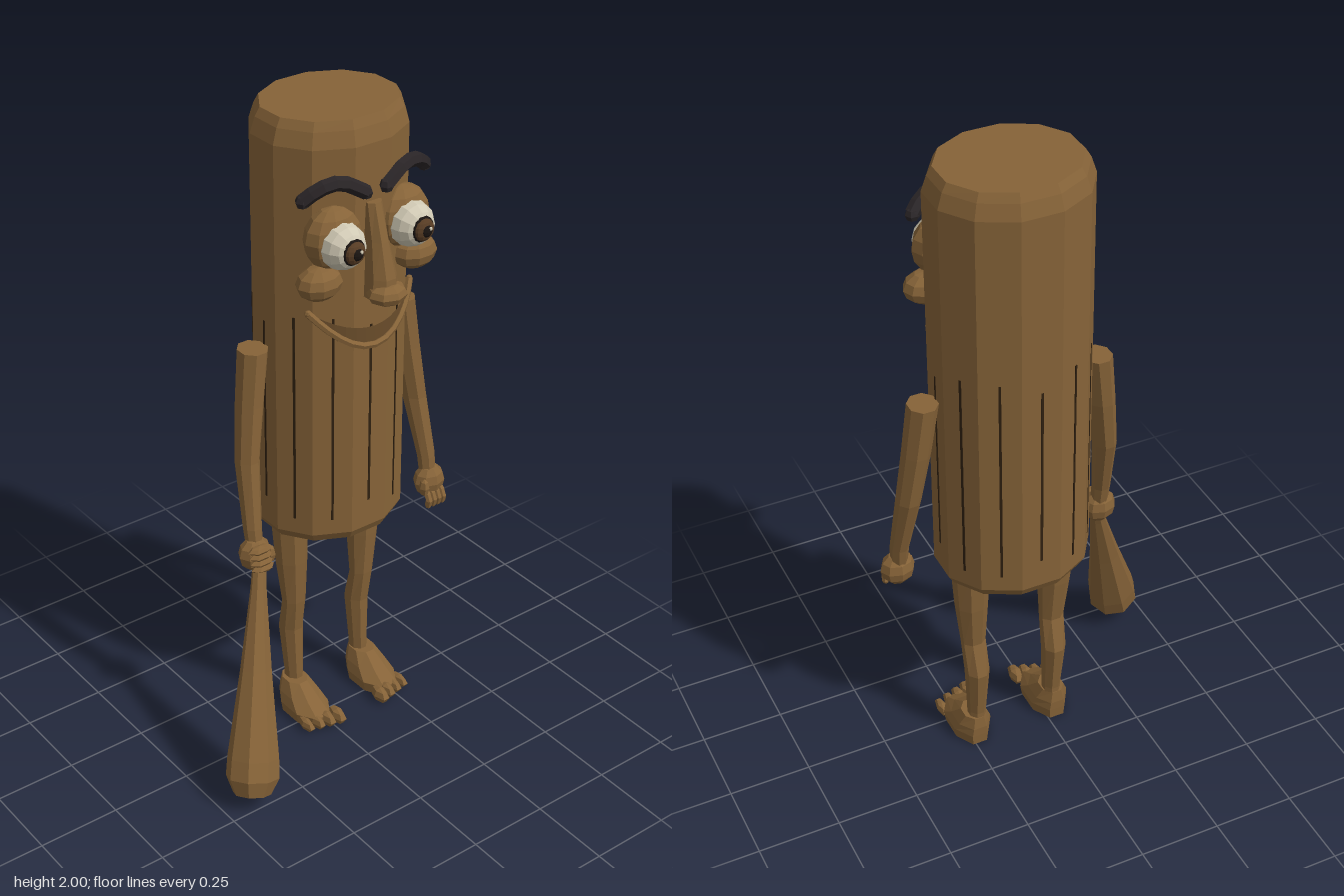
import * as THREE from 'three';

const mat = (name, color) => Object.assign(new THREE.MeshStandardMaterial({ color }), { name });
const CX = 0.104, CZ = -0.093; // axis of the log body

export function createModel() {
  const root = new THREE.Group();
  root.name = 'logFigure';
  const wood = mat('wood brown', 0x866338);
  const groove = mat('groove dark brown', 0x2f2010);
  const mouthIn = mat('mouth brown', 0x694c2a);
  const brow = mat('brow black', 0x2a2527);
  const white = mat('eye white', 0xd0c9b4);
  const irisM = mat('iris brown', 0x573c24);
  const pupilM = mat('pupil black', 0x1a1411);
  mouthIn.side = THREE.DoubleSide;

  // faceted mesh: unshared corners give flat normals
  const add = (parent, name, geo, material) => {
    const g = geo.index ? geo.toNonIndexed() : geo;
    g.computeVertexNormals();
    const m = new THREE.Mesh(g, material);
    m.name = name;
    parent.add(m);
    return m;
  };

  // closed stack of horizontal rings, bottom to top: [x, y, z, rx, rz]
  const loft = (rings, n) => {
    const pos = [], idx = [];
    for (const [x, y, z, rx, rz] of rings)
      for (let i = 0; i < n; i++) {
        const a = (i + 0.5) / n * Math.PI * 2;
        pos.push(x + rx * Math.sin(a), y, z + rz * Math.cos(a));
      }
    const last = rings.length - 1;
    for (let j = 0; j < last; j++)
      for (let i = 0; i < n; i++) {
        const k = (i + 1) % n, a = j * n + i, b = j * n + k;
        idx.push(a, b, b + n, a, b + n, a + n);
      }
    for (let i = 1; i < n - 1; i++) {
      idx.push(0, i + 1, i);
      idx.push(last * n, last * n + i, last * n + i + 1);
    }
    const g = new THREE.BufferGeometry();
    g.setAttribute('position', new THREE.Float32BufferAttribute(pos, 3));
    g.setIndex(idx);
    return g;
  };

  const blob = (parent, name, material, [x, y, z], [sx, sy, sz], w = 8, h = 6) => {
    const m = add(parent, name, new THREE.SphereGeometry(1, w, h).scale(sx, sy, sz), material);
    m.position.set(x, y, z);
    return m;
  };

  // tube with rounded ends
  const rod = (parent, name, material, pts, r, seg = 8) => {
    const v = pts.map(p => new THREE.Vector3(...p));
    add(parent, name, new THREE.TubeGeometry(new THREE.CatmullRomCurve3(v), seg, r, 6), material);
    for (const p of [pts[0], pts[pts.length - 1]]) blob(parent, name + 'End', material, p, [r, r, r], 6, 4);
  };

  // log body
  add(root, 'body', loft([
    [CX, 0.692, CZ, 0.215, 0.187], [CX, 0.72, CZ, 0.232, 0.202],
    [CX, 1.93, CZ, 0.232, 0.202], [CX, 1.975, CZ, 0.217, 0.189], [CX, 2.0, CZ, 0.202, 0.177],
  ], 12), wood);

  // bark grooves, one per facet
  for (let i = 0; i < 12; i++) {
    const a = i * Math.PI / 6, h = i % 3 ? 0.66 : 0.58;
    const g = add(root, 'barkGroove', new THREE.BoxGeometry(0.007, h, 0.007), groove);
    g.position.set(CX + 0.2225 * Math.sin(a), 1.1, CZ + 0.1935 * Math.cos(a));
    g.rotation.y = a;
  }

  // paired parts, mirrored about the body axis
  for (const s of [-1, 1]) {
    const side = s < 0 ? 'right' : 'left';
    const X = d => CX + s * d;

    // leg
    add(root, side + 'Leg', loft([
      [X(0.127), 0.06, -0.1, 0.028, 0.033], [X(0.127), 0.12, -0.1, 0.028, 0.033],
      [X(0.128), 0.29, -0.112, 0.037, 0.042], [X(0.13), 0.4, -0.092, 0.038, 0.034],
      [X(0.135), 0.55, -0.096, 0.05, 0.049], [X(0.138), 0.71, -0.1, 0.058, 0.058],
    ], 8), wood);

    // foot and toes
    add(root, side + 'Foot', loft([
      [X(0.132), 0, -0.037, 0.06, 0.104], [X(0.132), 0.035, -0.037, 0.066, 0.107],
      [X(0.132), 0.065, -0.063, 0.056, 0.08], [X(0.132), 0.104, -0.088, 0.038, 0.048],
    ], 8), wood);
    for (let i = 0; i < 4; i++) {
      const r = 0.025 - i * 0.002;
      blob(root, side + 'Toe', wood, [X(0.085 + i * 0.033), r, 0.068 - i * 0.009],
        [r * 0.85, r, 0.042], 6, 4);
    }

    // arm
    add(root, side + 'Arm', loft([
      [X(0.325), 0.7, -0.015, 0.024, 0.026], [X(0.325), 0.78, -0.026, 0.028, 0.029],
      [X(0.308), 0.98, -0.07, 0.036, 0.041], [X(0.285), 1.15, -0.086, 0.041, 0.046],
      [X(0.264), 1.315, -0.095, 0.044, 0.049],
    ], 8), wood);

    // hand: a fist round the club on the right, loose fingers on the left
    blob(root, side + 'Palm', wood, [X(0.328), 0.695, -0.012], [0.053, 0.054, 0.042]);
    for (let i = 0; i < 4; i++) {
      if (s < 0) blob(root, 'rightFinger', wood, [X(0.332 - i * 0.003), 0.725 - i * 0.022, 0.02],
        [0.04, 0.013, 0.022], 6, 4);
      else {
        const x = X(0.3 + i * 0.018);
        rod(root, 'leftFinger', wood, [[x, 0.675, 0.005], [x, 0.65, 0.026], [x, 0.628, 0.022]], 0.011, 3);
      }
    }
    blob(root, side + 'Thumb', wood, [X(0.29), 0.69, 0.012], [0.016, 0.03, 0.018], 6, 4);

    // eye: lid, ball, dark rim, iris, pupil and glint
    const ex = X(0.118), ey = 1.672;
    blob(root, side + 'Eyelid', wood, [ex, ey + 0.01, 0.078], [0.09, 0.09, 0.06], 10, 8);
    const ball = blob(root, side + 'Eyeball', white, [ex, ey, 0.119], [0.067, 0.067, 0.067], 12, 8);
    ball.rotation.x = Math.PI / 2;
    blob(root, side + 'IrisRim', pupilM, [ex, ey, 0.168], [0.039, 0.039, 0.02], 12, 8);
    blob(root, side + 'Iris', irisM, [ex, ey, 0.177], [0.033, 0.033, 0.018], 12, 8);
    blob(root, side + 'Pupil', pupilM, [ex, ey, 0.189], [0.018, 0.018, 0.011], 10, 6);
    blob(root, side + 'EyeGlint', white, [ex + 0.007, ey + 0.008, 0.197], [0.006, 0.006, 0.004], 6, 4);

    // pouch under the eye
    blob(root, side + 'Cheek', wood, [X(0.165), 1.56, 0.082], [0.07, 0.049, 0.055], 10, 6);

    // eyebrow
    rod(root, side + 'Eyebrow', brow, [
      [X(0.207), 1.803, 0.064], [X(0.165), 1.836, 0.087],
      [X(0.11), 1.844, 0.102], [X(0.035), 1.803, 0.115],
    ], 0.021, 6);
  }

  // nose
  add(root, 'noseBridge', loft([
    [CX, 1.5, 0.145, 0.05, 0.05], [CX, 1.56, 0.14, 0.043, 0.05],
    [CX, 1.66, 0.12, 0.03, 0.04], [CX, 1.765, 0.1, 0.026, 0.026],
  ], 8), wood);
  blob(root, 'noseTip', wood, [CX, 1.514, 0.168], [0.06, 0.033, 0.055], 8, 6);

  // smile: a crescent wrapped on the body, above a thick lower lip
  const onBody = (d, y, out) => [CX + d, y, CZ + 0.202 * Math.sqrt(1 - (d / 0.235) ** 2) + out];
  const low = [], strip = [], faces = [];
  for (let i = 0; i <= 12; i++) {
    const t = i / 6 - 1, d = t * 0.178;
    low.push(onBody(d, 1.335 + 0.12 * t * t, 0.01));
    strip.push(...low[i], ...onBody(d, 1.393 + 0.064 * t * t, 0.01));
    if (i) faces.push(2 * i - 2, 2 * i, 2 * i + 1, 2 * i - 2, 2 * i + 1, 2 * i - 1);
  }
  const mouth = new THREE.BufferGeometry();
  mouth.setAttribute('position', new THREE.Float32BufferAttribute(strip, 3));
  mouth.setIndex(faces);
  add(root, 'mouth', mouth, mouthIn);
  rod(root, 'lowerLip', wood, low, 0.011, 12);

  // club held in the right hand
  const profile = [[0, 0], [0.057, 0], [0.08, 0.05], [0.077, 0.11], [0.047, 0.37],
    [0.024, 0.61], [0.02, 0.68], [0.026, 0.7], [0.024, 0.725], [0, 0.725]];
  const club = add(root, 'club',
    new THREE.LatheGeometry(profile.map(p => new THREE.Vector2(...p)), 8), wood);
  const tip = new THREE.Vector3(-0.417, 0.048, 0.226), grip = new THREE.Vector3(-0.215, 0.7, 0.0);
  club.position.copy(tip);
  club.quaternion.setFromUnitVectors(new THREE.Vector3(0, 1, 0), grip.sub(tip).normalize());

  return root;
}
